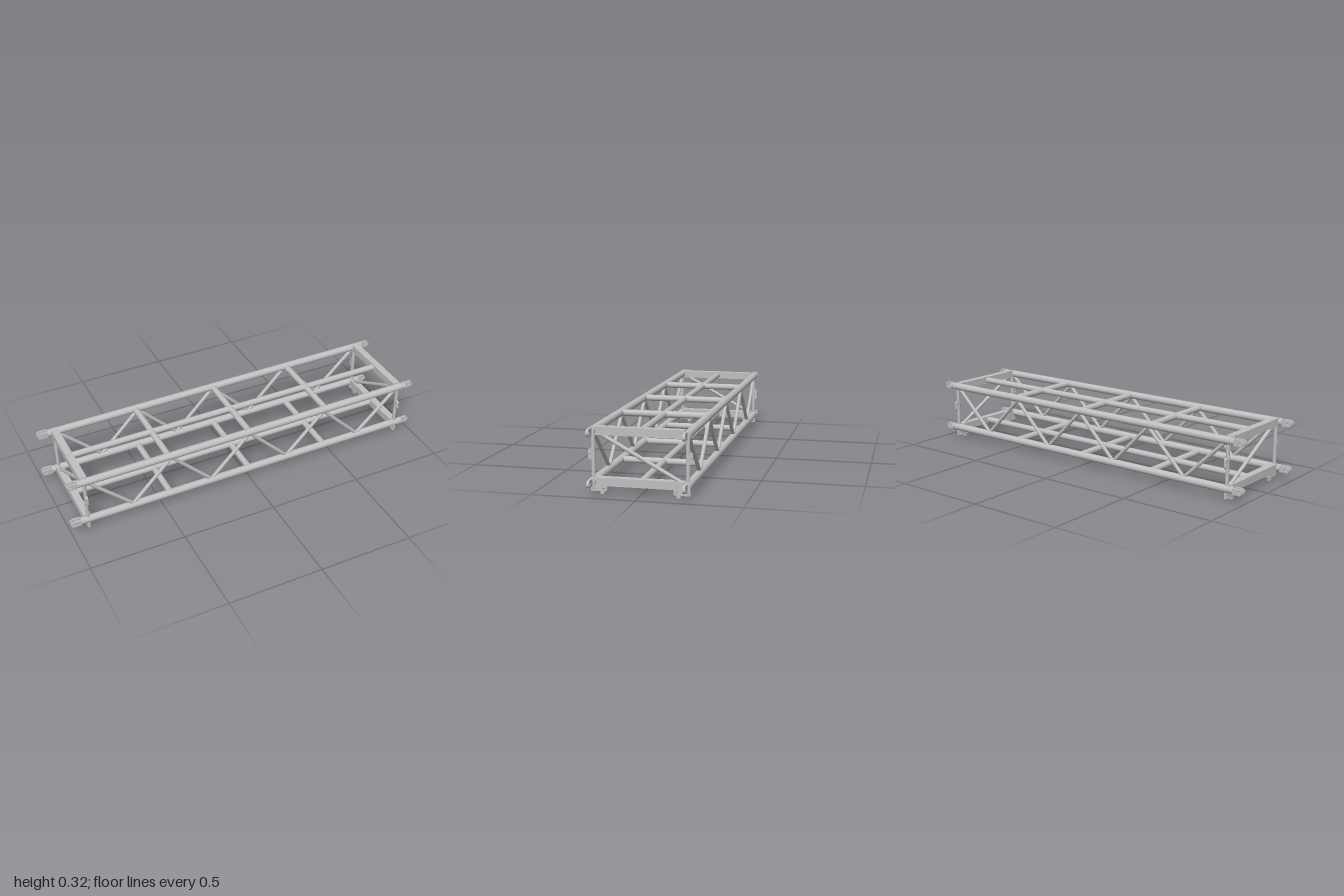
import * as THREE from 'three';

export function createModel() {
  const truss = new THREE.Group();
  truss.name = 'boxTruss';
  const metal = new THREE.MeshStandardMaterial({ color: 0xc0c0c0 });
  metal.name = 'aluminium grey';

  const TOP = 0.301, LOW = 0.061, SIDE = 0.225, END = 0.907, R = 0.0195;

  const add = (name, geometry, parent = truss) => {
    const mesh = new THREE.Mesh(geometry, metal);
    mesh.name = name;
    parent.add(mesh);
    return mesh;
  };

  // Round tube between two points
  const tube = (name, a, b, r, sides = 24) => {
    const from = new THREE.Vector3(...a), to = new THREE.Vector3(...b);
    const dir = to.clone().sub(from);
    const mesh = add(name, new THREE.CylinderGeometry(r, r, dir.length(), sides));
    mesh.position.copy(from).add(to).multiplyScalar(0.5);
    mesh.quaternion.setFromUnitVectors(new THREE.Vector3(0, 1, 0), dir.normalize());
    return mesh;
  };

  // Flat plate with round holes, centred on its own thickness
  const plate = (shape, thickness, holes) => {
    for (const [x, y, r] of holes) shape.holes.push(new THREE.Path().absarc(x, y, r, 0, Math.PI * 2, true));
    return new THREE.ExtrudeGeometry(shape, { depth: thickness, bevelEnabled: false, curveSegments: 10 })
      .translate(0, 0, -thickness / 2);
  };

  // Connector lug running out along +x, with a rounded tip and pin hole
  const lugShape = (length, h) => {
    const s = new THREE.Shape();
    s.moveTo(0, -h);
    s.lineTo(length - h, -h);
    s.absarc(length - h, 0, h, -Math.PI / 2, Math.PI / 2, false);
    s.lineTo(0, h);
    s.closePath();
    return s;
  };
  const tongue = plate(lugShape(0.056, 0.018), 0.012, [[0.038, 0, 0.007]]);
  const prong = plate(lugShape(0.056, 0.016), 0.009, [[0.038, 0, 0.007]]);

  // Four main chords with forks at the right end and tongues at the left end
  for (const y of [TOP, LOW]) {
    for (const z of [-SIDE, SIDE]) {
      tube('chord', [-0.926, y, z], [0.926, y, z], R, 32);
      for (const s of [-1, 1]) {
        tube('chordNeck', [s * 0.92, y, z], [s * 0.938, y, z], 0.0165, 32);
        tube('chordCollar', [s * 0.931, y, z], [s * 0.947, y, z], R, 32);
      }
      add('tongueLug', tongue).position.set(0.944, y, z);
      for (const s of [-1, 1]) {
        const fork = add('forkLug', prong);
        fork.rotation.y = Math.PI;
        fork.position.set(-0.944, y, z + s * 0.0115);
      }
    }
  }

  // Centre tubes and cross tubes on both levels
  for (const y of [TOP, LOW]) {
    tube('centreTube', [-END, y, 0], [END, y, 0], 0.0165);
    for (const x of [-0.455, 0, 0.455]) tube('crossTube', [x, y, -SIDE], [x, y, SIDE], 0.0165);
  }

  // Zigzag bracing on both long sides
  const top = 0.29, low = 0.072;
  const zigzag = [[0.002, 0.218], [0.442, 0.226], [0.442, 0.658], [0.892, 0.662]];
  for (const z of [-SIDE, SIDE])
    for (const s of [-1, 1])
      for (const [xTop, xLow] of zigzag)
        tube('sideBrace', [s * xTop, top, z], [s * xLow, low, z], 0.0095, 16);

  // Bracket plate under the lower end beams
  const foot = new THREE.Shape([
    [0.158, 0.043], [0.158, 0.018], [0.163, 0.013], [0.169, 0.013], [0.173, 0.009], [0.173, 0],
    [0.190, 0], [0.190, 0.009], [0.194, 0.013], [0.237, 0.013], [0.237, 0.043],
  ].map(([x, y]) => new THREE.Vector2(x, y)));
  const footGeometry = plate(foot, 0.014, [[0.175, 0.024, 0.005], [0.223, 0.024, 0.005]]);

  // Eyelet plate on each end post
  const ear = new THREE.Shape();
  ear.moveTo(0.226, 0.161);
  ear.lineTo(0.237, 0.161);
  ear.quadraticCurveTo(0.248, 0.163, 0.248, 0.174);
  ear.lineTo(0.248, 0.203);
  ear.quadraticCurveTo(0.248, 0.214, 0.237, 0.216);
  ear.lineTo(0.226, 0.216);
  ear.closePath();
  const earGeometry = plate(ear, 0.012, [[0.241, 0.188, 0.0045]]);

  // End frames
  for (const x of [-END, END]) {
    for (const y of [TOP, LOW])
      add('endBeam', new THREE.BoxGeometry(0.038, 0.039, 0.426)).position.set(x, y, 0);
    tube('endBrace', [x, 0.29, 0.2], [x, 0.072, -0.2], 0.0095, 16);

    // Round caps on the upper beam
    for (const z of [-0.18, 0, 0.18])
      add('beamCap', new THREE.CylinderGeometry(0.018, 0.018, 0.004, 24)).position.set(x, 0.3195, z);

    for (const s of [-1, 1]) {
      tube('endPost', [x, LOW, s * SIDE], [x, TOP, s * SIDE], 0.0095, 16);
      for (const [name, geometry] of [['footBracket', footGeometry], ['eyeletPlate', earGeometry]]) {
        const mesh = add(name, geometry);
        mesh.rotation.y = -s * Math.PI / 2;
        mesh.position.x = x;
      }
    }
  }
  return truss;
}
